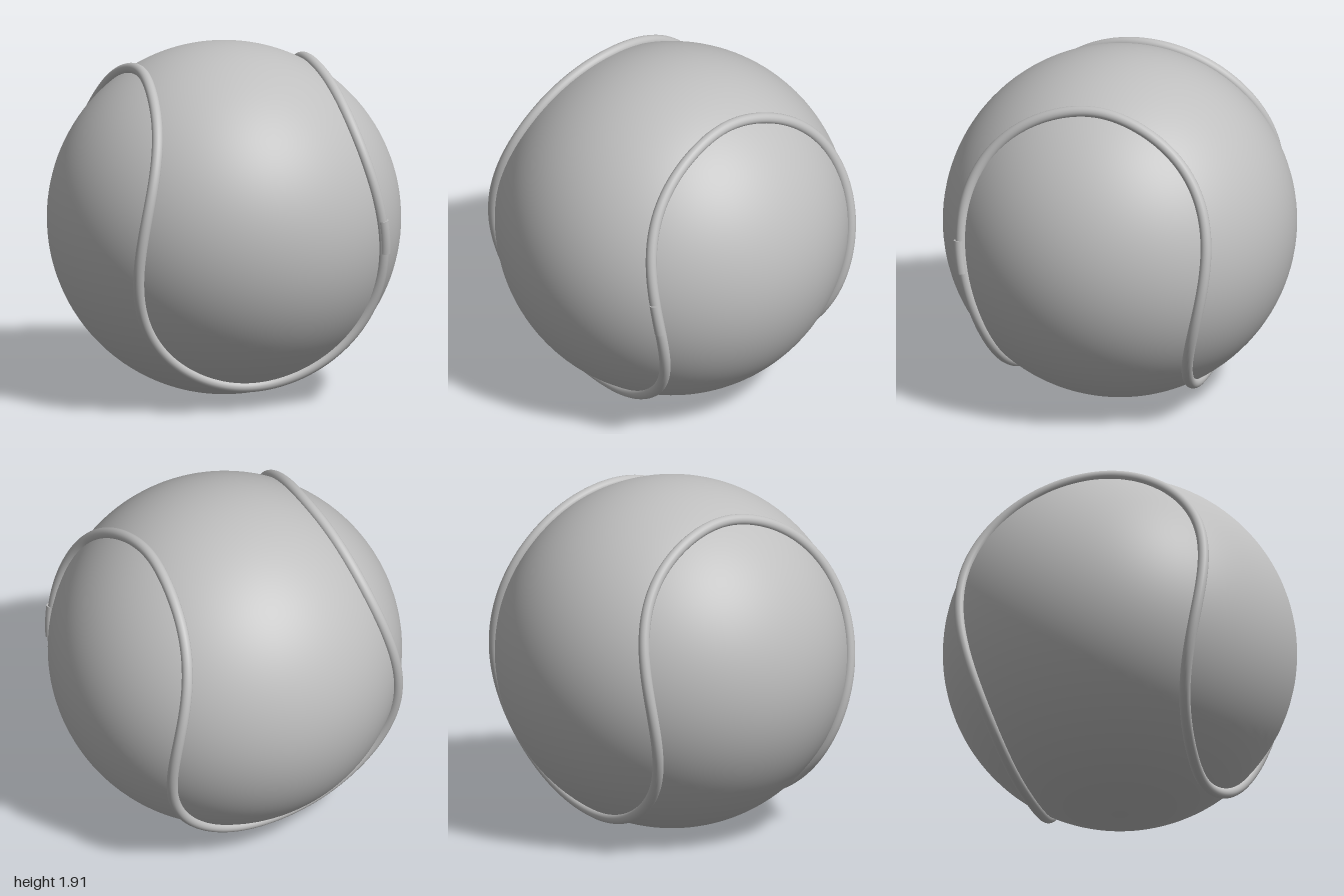
import * as THREE from 'three';

const R = 0.955;          // ball radius
const SEAM_R = 0.965;     // distance of the seam's centre line from the ball's centre
const CORD = 0.03;        // seam cord radius

// Point on the tennis-ball curve; t runs over 0..4*PI for the whole loop
function seamPoint(t, r) {
  const lat = 1.051 * Math.cos(t);
  const az = t / 2 + 0.335 * Math.sin(2 * t) - Math.PI / 4;
  return new THREE.Vector3(
    r * Math.cos(lat) * Math.sin(az),
    r * Math.sin(lat),
    r * Math.cos(lat) * Math.cos(az)
  );
}

function seamCurve(t0, t1, r, count, closed) {
  const points = [];
  const steps = closed ? count : count - 1;
  for (let i = 0; i < count; i++) points.push(seamPoint(t0 + (t1 - t0) * i / steps, r));
  return new THREE.CatmullRomCurve3(points, closed);
}

export function createModel() {
  const grey = new THREE.MeshStandardMaterial({ color: 0xbfbfbf });
  grey.name = 'plain grey';
  const model = new THREE.Group();
  model.name = 'tennisBall';

  const body = new THREE.Group();
  body.position.set(-0.005, R, 0);
  model.add(body);

  const add = (name, geometry, parent = body) => {
    const mesh = new THREE.Mesh(geometry, grey);
    mesh.name = name;
    parent.add(mesh);
    return mesh;
  };

  // Ball
  add('ball', new THREE.SphereGeometry(R, 96, 64));

  // Raised seam winding around the ball
  const seam = seamCurve(0, 4 * Math.PI, SEAM_R, 160, true);
  add('seam', new THREE.TubeGeometry(seam, 480, CORD, 20, true));

  // Short joint where the cord's ends meet, standing slightly proud
  const joint = new THREE.Group();
  joint.name = 'seamJoint';
  body.add(joint);
  const mid = 1.5 * Math.PI;
  const path = seamCurve(mid - 0.104, mid + 0.074, SEAM_R + 0.01, 6, false);
  add('jointCord', new THREE.TubeGeometry(path, 12, CORD, 20, false), joint);
  for (const end of [0, 1]) {
    const cap = add('jointEnd', new THREE.CircleGeometry(CORD, 20), joint);
    const out = path.getTangent(end).multiplyScalar(end ? 1 : -1);
    cap.position.copy(path.getPoint(end));
    cap.quaternion.setFromUnitVectors(new THREE.Vector3(0, 0, 1), out);
  }

  return model;
}
